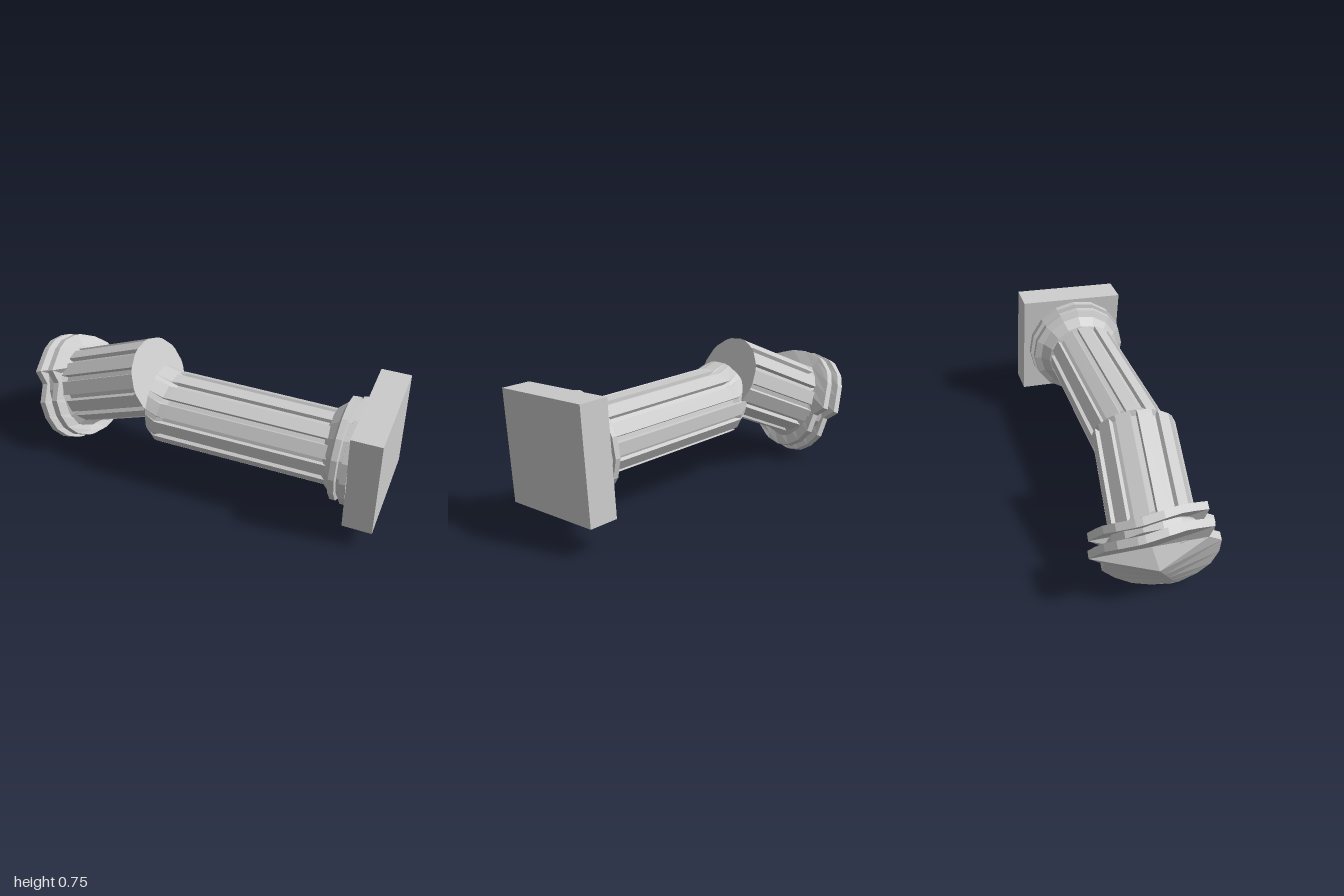
import * as THREE from 'three';

const material = new THREE.MeshStandardMaterial({ color: 0xcccccc, flatShading: true, side: THREE.DoubleSide });

// Closed skin over successive loops of points, with fan caps around each end's centre.
function loft(name, loops) {
  const n = loops[0].length, pos = [], index = [];
  const centre = loop => [0, 1, 2].map(k => loop.reduce((sum, p) => sum + p[k], 0) / n);
  loops.forEach(loop => loop.forEach(p => pos.push(...p)));
  for (let i = 0; i < loops.length - 1; i++) {
    for (let j = 0; j < n; j++) {
      const a = i * n + j, b = i * n + (j + 1) % n;
      index.push(a, b, a + n, b, b + n, a + n);
    }
  }
  const start = pos.length / 3, last = (loops.length - 1) * n;
  pos.push(...centre(loops[0]), ...centre(loops[loops.length - 1]));
  for (let j = 0; j < n; j++) {
    const k = (j + 1) % n;
    index.push(start, k, j, start + 1, last + j, last + k);
  }
  const geometry = new THREE.BufferGeometry();
  geometry.setAttribute('position', new THREE.Float32BufferAttribute(pos, 3));
  geometry.setIndex(index);
  geometry.computeVertexNormals();
  const mesh = new THREE.Mesh(geometry, material);
  mesh.name = name;
  return mesh;
}

// Cross-section with twelve flat ridges and narrow grooves; shear slants the section.
function flutedLoop(x, r, depth, lift = 0, shear = 0) {
  const loop = [];
  for (let i = 0; i < 12; i++) {
    [[-10, 0], [10, 0], [11.5, 1], [18.5, 1]].forEach(([deg, groove]) => {
      const t = THREE.MathUtils.degToRad(i * 30 + deg);
      const q = r - groove * depth;
      loop.push([x + shear * Math.cos(t), q * Math.cos(t) + lift, q * Math.sin(t)]);
    });
  }
  return loop;
}

function roundLoop(x, r) {
  return Array.from({ length: 16 }, (_, j) => {
    const t = j * Math.PI / 8;
    return [x, r * Math.cos(t), r * Math.sin(t)];
  });
}

function lowerPiece() {
  const g = new THREE.Group();
  g.name = 'lowerColumnPiece';

  // Shaft, a little wider than tall, with its broken end pushed upward
  const shaft = loft('lowerShaft', [
    flutedLoop(-0.285, 0.186, 0, 0.03),
    flutedLoop(-0.235, 0.192, 0.004, 0, 0.035),
    flutedLoop(-0.2, 0.193, 0.018, 0, 0.035),
    flutedLoop(0.69, 0.19, 0.018),
  ]);
  shaft.scale.z = 1.07;
  shaft.position.z = 0.015;
  g.add(shaft);

  // Flare and base mouldings
  const profile = [[0.65, 0.17], [0.66, 0.195], [0.705, 0.235], [0.72, 0.27], [0.75, 0.27],
    [0.755, 0.25], [0.77, 0.25], [0.775, 0.28], [0.81, 0.28]];
  g.add(loft('baseMouldings', profile.map(([x, r]) => roundLoop(x, r))));

  // Square plinth, rolled slightly about the shaft
  const plinth = new THREE.Mesh(new THREE.BoxGeometry(0.155, 0.575, 0.575), material);
  plinth.name = 'plinth';
  plinth.position.set(0.885, 0.01, -0.025);
  plinth.rotation.x = THREE.MathUtils.degToRad(4);
  g.add(plinth);

  g.rotation.y = THREE.MathUtils.degToRad(-20);
  g.position.set(-0.015, 0.418, 0.045);
  return g;
}

// Round plate sliced along y: each slice has a height, an end position, a share of the
// round width and a fold that bends its two sides back. Above the peak lies a notch.
function brokenRing(name, offset, thickness, r) {
  const slices = [[-1, 0.71, 1, 0], [-0.92, 0.713, 1, 0.015], [-0.75, 0.718, 1, 0.035], [-0.5, 0.725, 1, 0.065],
    [-0.2, 0.735, 1, 0.095], [0.13, 0.745, 0.85, 0.1], [0.38, 0.65, 1.08, 0.02], [0.6, 0.665, 1, 0.02],
    [0.78, 0.68, 1, 0.02], [0.92, 0.69, 1, 0.01], [1, 0.695, 1, 0]];
  return loft(name, slices.map(([s, end, share, fold]) => {
    const x1 = end - offset, x0 = x1 - thickness, y = s * r;
    const h = Math.max(0.06, Math.sqrt(1 - s * s)) * share * r;
    return [[x0 - fold, y, h], [x1 - fold, y, h], [x1, y, 0], [x1 - fold, y, -h], [x0 - fold, y, -h], [x0, y, 0]];
  }));
}

function upperPiece() {
  const g = new THREE.Group();
  g.name = 'upperColumnPiece';

  // Shaft, starting at a plain round break face
  g.add(loft('upperShaft', [
    flutedLoop(0, 0.21, 0),
    flutedLoop(0.02, 0.21, 0.022),
    flutedLoop(0.55, 0.21, 0.022),
  ]));

  // Neck and the two broken rings of the capital
  g.add(loft('capitalNeck', [roundLoop(0.5, 0.18), roundLoop(0.57, 0.235), roundLoop(0.62, 0.235)]));
  g.add(brokenRing('innerCapitalRing', 0.085, 0.04, 0.29));
  g.add(brokenRing('outerCapitalRing', 0, 0.04, 0.3));

  // Lean the piece down and back from the break
  const along = new THREE.Vector3(-0.8, -0.41, -0.43).normalize();
  const notchLine = new THREE.Vector3(0.54, -0.35, -0.76);
  notchLine.addScaledVector(along, -notchLine.dot(along)).normalize();
  const across = new THREE.Vector3().crossVectors(notchLine, along);
  g.quaternion.setFromRotationMatrix(new THREE.Matrix4().makeBasis(along, across, notchLine));
  g.position.set(-0.3, 0.565, -0.08);
  return g;
}

export function createModel() {
  const model = new THREE.Group();
  model.name = 'brokenColumn';
  model.add(lowerPiece(), upperPiece());
  return model;
}
